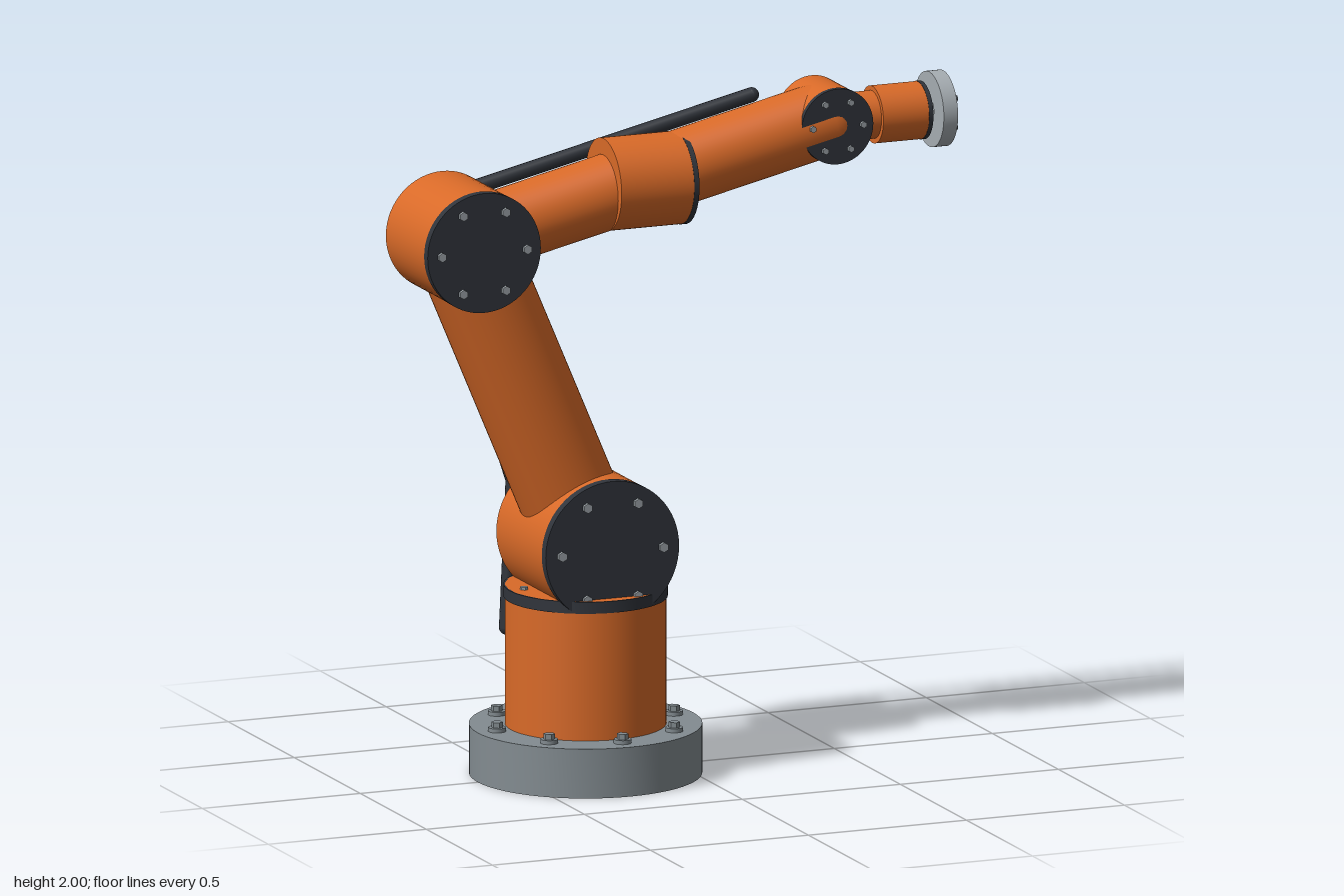
import * as THREE from 'three';
import { toCreasedNormals } from 'three/addons/utils/BufferGeometryUtils.js';

const mat = (color) => new THREE.MeshStandardMaterial({ color });
const orange = mat(0xd96a28);
const dark = mat(0x30343b);
const steel = mat(0x838c91);
const light = mat(0xa6adb2);
const boltMat = mat(0x9aa1a6);
const UP = new THREE.Vector3(0, 1, 0);
const V = (x, y, z = 0) => new THREE.Vector3(x, y, z);

function add(parent, name, geometry, material, x = 0, y = 0, z = 0) {
  const mesh = new THREE.Mesh(geometry, material);
  mesh.name = name;
  mesh.position.set(x, y, z);
  parent.add(mesh);
  return mesh;
}

function addGroup(parent, name, x = 0, y = 0, z = 0) {
  const group = new THREE.Group();
  group.name = name;
  group.position.set(x, y, z);
  parent.add(group);
  return group;
}

// Upright disc or cylinder from y0 to y1
function disc(parent, name, r, y0, y1, material) {
  return add(parent, name, new THREE.CylinderGeometry(r, r, y1 - y0, 64), material, 0, (y0 + y1) / 2);
}

// Turned part with crisp edges, profile as [radius, height] pairs
function turned(parent, name, profile, material) {
  const points = profile.map(([r, y]) => new THREE.Vector2(r, y));
  return add(parent, name, toCreasedNormals(new THREE.LatheGeometry(points, 64), 0.6), material);
}

// Round bar between two points
function bar(parent, name, a, b, r, material, sides = 48) {
  const d = b.clone().sub(a);
  const mesh = add(parent, name, new THREE.CylinderGeometry(r, r, d.length(), sides), material);
  mesh.position.copy(a).addScaledVector(d, 0.5);
  mesh.quaternion.setFromUnitVectors(UP, d.normalize());
  return mesh;
}

// Ring of hex bolts, optionally on washers
function bolts(parent, count, ringR, y, size, height, material = boltMat, washer = 0) {
  for (let i = 0; i < count; i++) {
    const a = (i / count) * Math.PI * 2;
    const x = Math.cos(a) * ringR, z = Math.sin(a) * ringR;
    if (washer) add(parent, 'washer', new THREE.CylinderGeometry(washer, washer, 0.012, 20), material, x, y + 0.006, z);
    const head = new THREE.CylinderGeometry(size, size, height, 6).toNonIndexed();
    head.computeVertexNormals();
    add(parent, 'bolt', head, material, x, y + height / 2, z);
  }
}

// Joint drum along z: recessed at the back, bolted cover at the front
function joint(parent, name, at, r, half, holeR, depth, coverT, boltR, boltSize) {
  const g = addGroup(parent, name, at.x, at.y, at.z);
  g.rotation.x = Math.PI / 2;
  turned(g, name + 'Housing', [
    [0, depth - half], [holeR, depth - half], [holeR, -half], [r, -half], [r, half], [0, half],
  ], orange);
  disc(g, name + 'Cover', r + 0.001, half, half + coverT, dark);
  bolts(g, 6, boltR, half + coverT, boltSize, 0.01);
  return g;
}

export function createModel() {
  const root = new THREE.Group();
  root.name = 'robotArm';

  const shoulder = V(-0.287, 0.704);
  const elbow = V(-0.68, 1.628);
  const wrist = V(0.466, 1.89);

  // Base plate with a central bore, and the turning column
  const base = addGroup(root, 'base', shoulder.x);
  turned(base, 'basePlate', [[0.05, 0.148], [0.05, 0], [0.341, 0], [0.341, 0.148], [0.05, 0.148]], steel);
  bolts(base, 8, 0.28, 0.148, 0.017, 0.028, steel, 0.026);
  disc(base, 'column', 0.236, 0.148, 0.565, orange);
  turned(base, 'columnRing', [[0.234, 0.53], [0.24, 0.53], [0.24, 0.565], [0.234, 0.565]], dark);
  bolts(base, 6, 0.195, 0.565, 0.012, 0.008);

  // Shoulder and elbow drums joined by the upper arm
  joint(root, 'shoulder', shoulder, 0.21, 0.173, 0.138, 0.06, 0.03, 0.16, 0.015);
  joint(root, 'elbow', elbow, 0.178, 0.146, 0.112, 0.05, 0.027, 0.135, 0.014);
  const upDir = elbow.clone().sub(shoulder).normalize();
  bar(root, 'upperArm', shoulder.clone().addScaledVector(upDir, 0.14),
    elbow.clone().addScaledVector(upDir, -0.1), 0.147, orange);

  // Forearm with rounded end
  const foreDir = wrist.clone().sub(elbow).normalize();
  bar(root, 'forearm', elbow.clone().addScaledVector(foreDir, 0.12), wrist, 0.111, orange);
  add(root, 'forearmEnd', new THREE.SphereGeometry(0.111, 48, 32), orange, wrist.x, wrist.y, wrist.z);

  // Level sleeve around the forearm
  const sleeve = addGroup(root, 'sleeve', 0, 1.757);
  sleeve.rotation.z = -Math.PI / 2;
  disc(sleeve, 'sleeveBody', 0.137, -0.23, 0, orange);
  disc(sleeve, 'sleeveRing', 0.138, 0, 0.016, dark);
  bolts(sleeve, 6, 0.113, 0.016, 0.01, 0.008);

  // Wrist drum
  joint(root, 'wrist', wrist, 0.112, 0.09, 0.07, 0.03, 0.0165, 0.08, 0.01);

  // Hand and tool flange along +x
  const hand = addGroup(root, 'hand', 0, wrist.y);
  hand.rotation.z = -Math.PI / 2;
  disc(hand, 'handNeck', 0.071, 0.5, 0.62, orange);
  disc(hand, 'handBody', 0.085, 0.62, 0.765, orange);
  disc(hand, 'handRing', 0.086, 0.765, 0.778, dark);
  turned(hand, 'toolFlange', [[0.036, 0.845], [0.036, 0.8], [0.112, 0.8], [0.112, 0.845], [0.036, 0.845]], light);
  bolts(hand, 6, 0.085, 0.845, 0.01, 0.012, mat(0x5a6066));

  // Cable running up the back
  const cable = addGroup(root, 'cable');
  const path = [
    V(-0.435, 0.395, -0.245), V(-0.415, 0.835, -0.243), V(-0.68, 1.61, -0.2),
    V(-0.55, 1.74, -0.185), V(0.31, 1.94, -0.172),
  ];
  path.forEach((p, i) => {
    add(cable, 'cableBend', new THREE.SphereGeometry(0.022, 16, 12), dark, p.x, p.y, p.z);
    if (i) bar(cable, 'cableRun', path[i - 1], p, 0.022, dark, 16);
  });

  return root;
}
